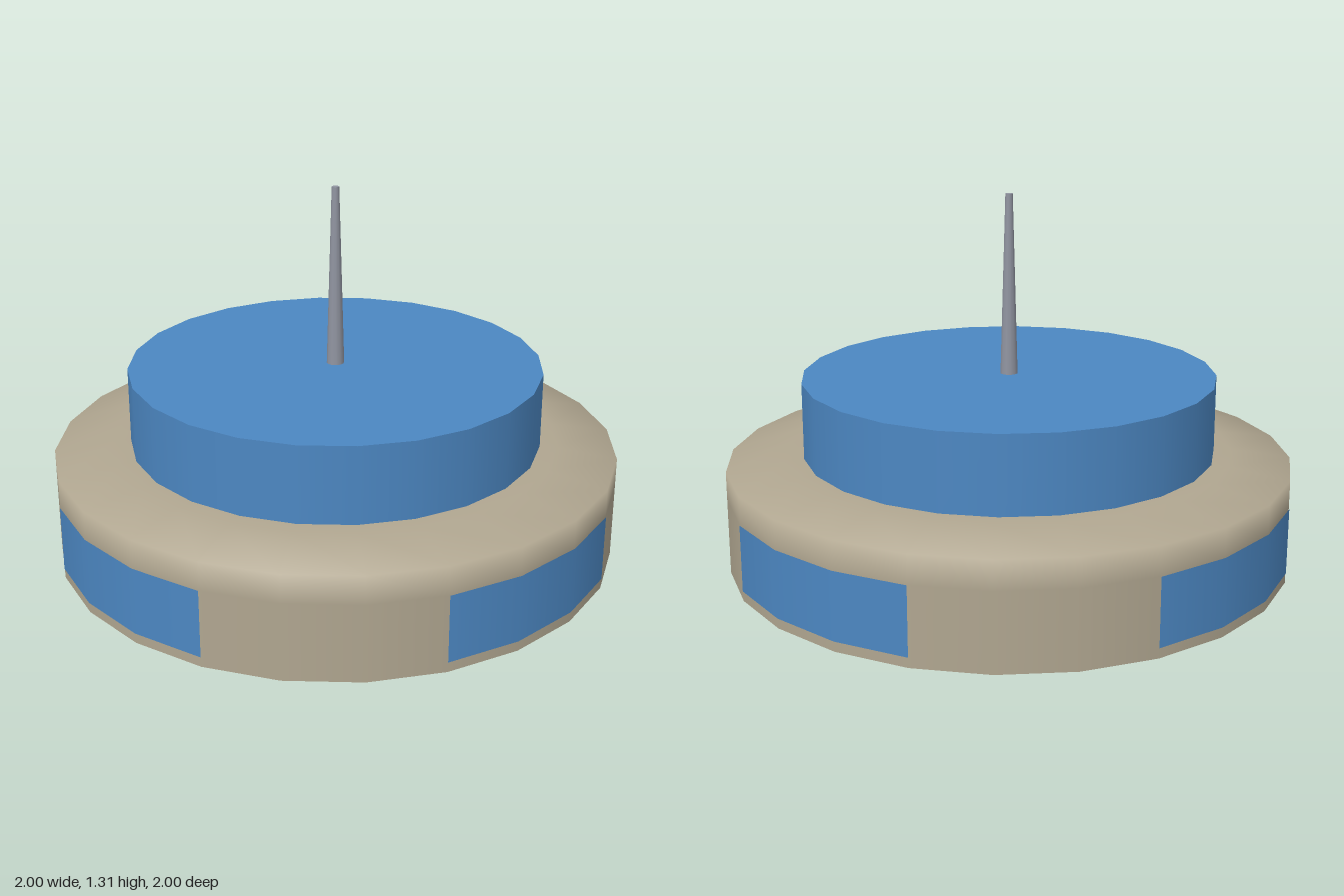
import * as THREE from 'three';

const SIDES = 24;
const STEP = (Math.PI * 2) / SIDES;

const tan = new THREE.MeshStandardMaterial({ color: 0xb0a690 });
const blue = new THREE.MeshStandardMaterial({ color: 0x4c87c2 });
const steel = new THREE.MeshStandardMaterial({ color: 0x9094a0 });

export function createModel() {
  const model = new THREE.Group();
  model.name = 'domeWithMast';

  const add = (name, geometry, material, y = 0) => {
    const mesh = new THREE.Mesh(geometry, material);
    mesh.name = name;
    mesh.position.y = y;
    model.add(mesh);
    return mesh;
  };

  // Wide drum with a softly shaded sloping shoulder
  const profile = [[1, 0], [1, 0.035], [1, 0.27], [1, 0.37], [0.79, 0.4], [0.7, 0.4]]
    .map(([r, y]) => new THREE.Vector2(r, y));
  add('drumBody', new THREE.LatheGeometry(profile, SIDES), tan);

  // Underside with a flush inner plate
  add('drumUnderside', new THREE.CircleGeometry(1, SIDES), tan).rotation.x = Math.PI / 2;
  add('underPlate', new THREE.CircleGeometry(0.73, SIDES), steel, -0.002).rotation.x = Math.PI / 2;

  // Four window bands, each three facets wide
  for (let i = 0; i < 4; i++) {
    const start = -STEP + (i * Math.PI) / 2;
    const band = new THREE.CylinderGeometry(1.002, 1.002, 0.235, 3, 1, true, start, STEP * 3);
    add('window' + (i + 1), band, blue, 0.1525);
  }

  // Upper drum
  add('upperDrum', new THREE.CylinderGeometry(0.73, 0.73, 0.27, SIDES), blue, 0.535);

  // Tapered mast
  add('mast', new THREE.CylinderGeometry(0.013, 0.031, 0.635, 12), steel, 0.9875);

  return model;
}
